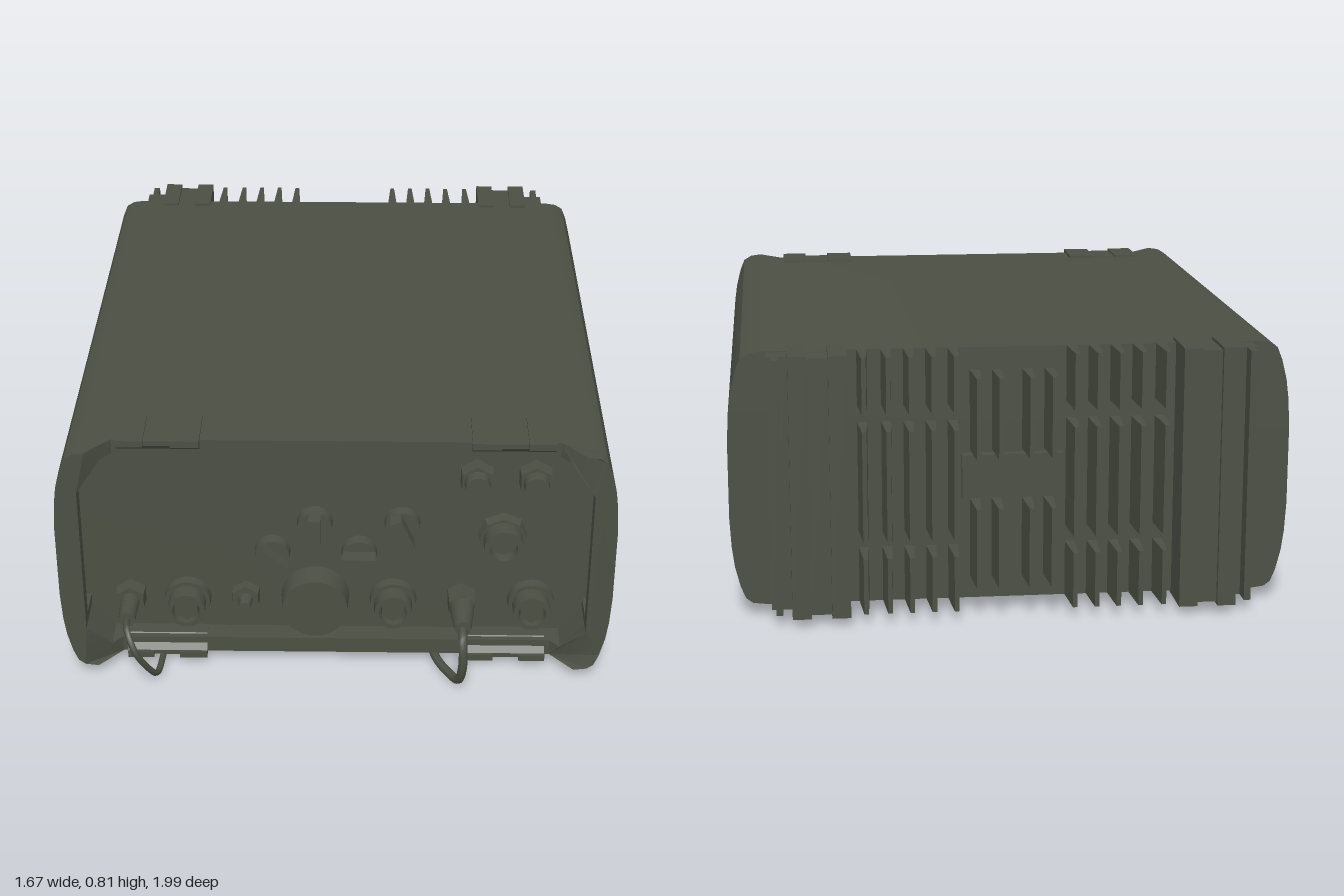
import * as THREE from 'three';
import { toCreasedNormals } from 'three/addons/utils/BufferGeometryUtils.js';

const olive = new THREE.MeshStandardMaterial({ color: 0x4b4f43 });
olive.name = 'olive drab';

// right half of the case cross-section, top to bottom
const side = [[0.73, 0.797], [0.765, 0.792], [0.79, 0.777], [0.805, 0.74], [0.82, 0.68], [0.828, 0.62], [0.833, 0.53],
  [0.833, 0.3], [0.828, 0.21], [0.82, 0.15], [0.805, 0.09], [0.79, 0.053], [0.77, 0.038], [0.73, 0.033]];
const flip = pts => pts.map(([x, y]) => [-x, y]).reverse();
const polygon = pts => new THREE.Shape(pts.map(p => new THREE.Vector2(...p)));

function add(parent, name, geo, x = 0, y = 0, z = 0) {
  const m = new THREE.Mesh(geo, olive);
  m.name = name;
  m.position.set(x, y, z);
  parent.add(m);
  return m;
}
const box = (parent, name, x0, x1, y0, y1, z0, z1) =>
  add(parent, name, new THREE.BoxGeometry(x1 - x0, y1 - y0, z1 - z0), (x0 + x1) / 2, (y0 + y1) / 2, (z0 + z1) / 2);

// slab of a front-facing outline between two depths
function slab(pts, z0, z1) {
  const g = new THREE.ExtrudeGeometry(polygon(pts), { depth: z1 - z0, bevelEnabled: false });
  g.translate(0, 0, z0);
  return g;
}
// (z, y) profile swept along x
function sweepX(pts, x0, x1) {
  const g = new THREE.ExtrudeGeometry(polygon(pts), { depth: x1 - x0, bevelEnabled: false });
  g.rotateY(-Math.PI / 2).translate(x1, 0, 0);
  return g;
}
// disc or prism whose axis points forward, standing on the panel
const PANEL = 0.755;
function stud(parent, name, x, y, r0, r1, z0, z1, sides = 24) {
  let g = new THREE.CylinderGeometry(r1, r0, z1 - z0, sides).rotateX(Math.PI / 2);
  g = toCreasedNormals(g, sides > 8 ? 0.6 : 0.1);
  return add(parent, name, g, x, y, (z0 + z1) / 2);
}
function ring(parent, name, x, y, rOut, rIn, z0, z1, sides = 20) {
  const p = [[rIn, z0], [rOut, z0], [rOut, z1], [rIn, z1], [rIn, z0]].map(v => new THREE.Vector2(...v));
  const g = toCreasedNormals(new THREE.LatheGeometry(p, sides).rotateX(Math.PI / 2), sides > 8 ? 0.6 : 0.1);
  return add(parent, name, g, x, y, 0);
}

function buildCase(root) {
  const g = new THREE.Group();
  g.name = 'case';
  root.add(g);
  add(g, 'caseBody', toCreasedNormals(slab([...side, ...flip(side)], -0.87, PANEL), 0.5));
  box(g, 'topLip', -0.66, 0.66, 0.75, 0.797, PANEL, 0.82);
  box(g, 'bottomLip', -0.66, 0.66, 0.033, 0.085, PANEL, 0.82);

  const top = side.filter(p => p[1] > 0.65), low = side.filter(p => p[1] < 0.2);
  const topIn = [[0.76, 0.64], [0.76, 0.66], [0.69, 0.75], [0.66, 0.75], [0.66, 0.797]];
  const lowIn = [[0.66, 0.033], [0.66, 0.085], [0.69, 0.085], [0.76, 0.17], [0.76, 0.2]];
  const topCorner = [...top, [0.826, 0.64], ...topIn];
  const lowCorner = [[0.827, 0.2], ...low, ...lowIn];
  const guard = [...side, ...lowIn, ...topIn];
  for (const s of [1, -1]) {
    const m = pts => (s > 0 ? pts : flip(pts));
    // corners leave a side window between them, closed off by the guard in front
    add(g, 'upperCorner', toCreasedNormals(slab(m(topCorner), PANEL, 0.85), 0.5));
    add(g, 'lowerCorner', toCreasedNormals(slab(m(lowCorner), PANEL, 0.85), 0.5));
    const front = slab(m(guard), 0.85, 0.9);
    for (const geo of [front, ...g.children.slice(-2).map(c => c.geometry)]) {
      // slope the guard back to the lip towards the middle
      const p = geo.attributes.position;
      for (let i = 0; i < p.count; i++) {
        const limit = 0.9 - 0.08 * Math.max(0, (0.73 - Math.abs(p.getX(i))) / 0.07);
        p.setZ(i, Math.min(p.getZ(i), limit));
      }
    }
    add(g, 'sideGuard', toCreasedNormals(front, 0.5));

    // latch blocks with raised tabs, above and below
    const range = (a, b) => (s > 0 ? [a, b] : [-b, -a]);
    for (const up of [true, false]) {
      const Y = y => (up ? y : 0.83 - y);
      const block = [[0.7, 0.8], [0.835, 0.8], [0.835, 0.785], [0.8, 0.742], [0.7, 0.742]].map(([z, y]) => [z, Y(y)]);
      add(g, 'latchBlock', sweepX(block, ...range(0.4, 0.645)));
      for (const [a, b] of [[0.4, 0.485], [0.565, 0.645]]) {
        const [y0, y1] = [Y(0.785), Y(0.806)].sort((p, q) => p - q);
        box(g, 'latchTab', ...range(a, b), y0, y1, 0.69, 0.845);
      }
    }
  }
}

function buildHeatSink(root) {
  const g = new THREE.Group();
  g.name = 'heatSink';
  root.add(g);
  const fin = (x, y0, y1) => {
    const geo = new THREE.BoxGeometry(0.03, y1 - y0, 0.13);
    const p = geo.attributes.position;
    for (let i = 0; i < p.count; i++) if (p.getZ(i) < 0) p.setX(i, p.getX(i) * 0.45);
    geo.computeVertexNormals();
    add(g, 'coolingFin', geo, x, (y0 + y1) / 2, -0.93);
  };
  const outerRows = [[0.033, 0.2], [0.25, 0.58], [0.63, 0.797]];
  const innerRows = [[0.1, 0.34], [0.49, 0.73]];
  for (const s of [1, -1]) {
    const range = (a, b) => (s > 0 ? [a, b] : [-b, -a]);
    for (const x of [0.175, 0.24, 0.305, 0.37, 0.44]) outerRows.forEach(r => fin(s * x, ...r));
    for (const x of [0.045, 0.11]) innerRows.forEach(r => fin(s * x, ...r));
    box(g, 'wideRib', ...range(0.485, 0.54), 0.025, 0.806, -1, -0.83);
    box(g, 'wideRib', ...range(0.6, 0.655), 0.025, 0.806, -1, -0.83);
    box(g, 'ribWeb', ...range(0.54, 0.6), 0.033, 0.797, -0.985, -0.86);
    box(g, 'edgeStep', ...range(0.655, 0.715), 0.036, 0.794, -0.935, -0.86);
    box(g, 'edgeFin', ...range(0.682, 0.702), 0.036, 0.794, -0.99, -0.9);
  }
  box(g, 'centrePlate', -0.15, 0.15, 0.35, 0.48, -0.9, -0.86);
}

function buildControls(root) {
  const g = new THREE.Group();
  g.name = 'controls';
  root.add(g);
  const z = PANEL - 0.005;

  // antenna nuts
  for (const x of [0.42, 0.595]) {
    stud(g, 'antennaNut', x, 0.645, 0.056, 0.052, z, 0.8, 6);
    stud(g, 'antennaPost', x, 0.645, 0.04, 0.036, 0.79, 0.835);
  }
  // large threaded port
  stud(g, 'portNut', 0.505, 0.435, 0.078, 0.07, z, 0.785, 8);
  ring(g, 'portCollar', 0.505, 0.435, 0.06, 0.042, 0.78, 0.84);
  stud(g, 'portCore', 0.505, 0.435, 0.044, 0.044, 0.78, 0.805, 8);

  // rotary switches with grip bars
  for (const [x, y, a] of [[-0.065, 0.475, 1.57], [0.2, 0.475, 2.0], [-0.195, 0.37, -0.7], [0.07, 0.37, 0]]) {
    stud(g, 'switchBase', x, y, 0.055, 0.052, z, 0.79);
    const bar = add(g, 'switchGrip', new THREE.BoxGeometry(0.1, 0.036, 0.055), x, y, 0.81);
    bar.rotation.z = a;
  }
  // speaker-style dial cap
  stud(g, 'mainDial', -0.065, 0.205, 0.105, 0.1, z, 0.835, 32);

  // multi-pin connectors
  for (const x of [-0.46, 0.175, 0.6]) {
    stud(g, 'connectorFlange', x, 0.195, 0.073, 0.07, z, 0.785);
    ring(g, 'connectorShell', x, 0.195, 0.058, 0.043, 0.78, 0.838);
    stud(g, 'connectorCore', x, 0.195, 0.045, 0.04, 0.78, 0.825, 6);
  }
  // small fuse post
  stud(g, 'fuseNut', -0.28, 0.205, 0.05, 0.045, z, 0.785, 6);
  stud(g, 'fusePost', -0.28, 0.205, 0.024, 0.018, 0.78, 0.83, 12);

  // tethered cap sockets
  stud(g, 'socketNut', -0.635, 0.205, 0.052, 0.048, z, 0.8, 6);
  stud(g, 'socketPost', -0.635, 0.205, 0.03, 0.026, 0.79, 0.9, 12);
  stud(g, 'plugNut', 0.385, 0.205, 0.048, 0.044, z, 0.82, 6);
  stud(g, 'plugBody', 0.385, 0.205, 0.04, 0.026, 0.81, 0.93, 12);

  const cord = (name, r, pts) => {
    const curve = new THREE.CatmullRomCurve3(pts.map(p => new THREE.Vector3(...p)));
    add(g, name, new THREE.TubeGeometry(curve, 36, r, 7));
  };
  cord('tetherCord', 0.01, [[-0.635, 0.205, 0.88], [-0.63, 0.205, 0.95], [-0.605, 0.15, 0.985], [-0.575, 0.08, 0.965],
    [-0.55, 0.022, 0.92], [-0.54, 0.014, 0.84], [-0.54, 0.02, 0.68]]);
  cord('plugStrap', 0.014, [[0.385, 0.205, 0.91], [0.385, 0.18, 0.965], [0.385, 0.1, 0.98], [0.375, 0.03, 0.95],
    [0.35, 0.014, 0.9], [0.31, 0.016, 0.82], [0.29, 0.02, 0.68]]);
}

export function createModel() {
  const root = new THREE.Group();
  root.name = 'radioUnit';
  buildCase(root);
  buildHeatSink(root);
  buildControls(root);
  return root;
}
